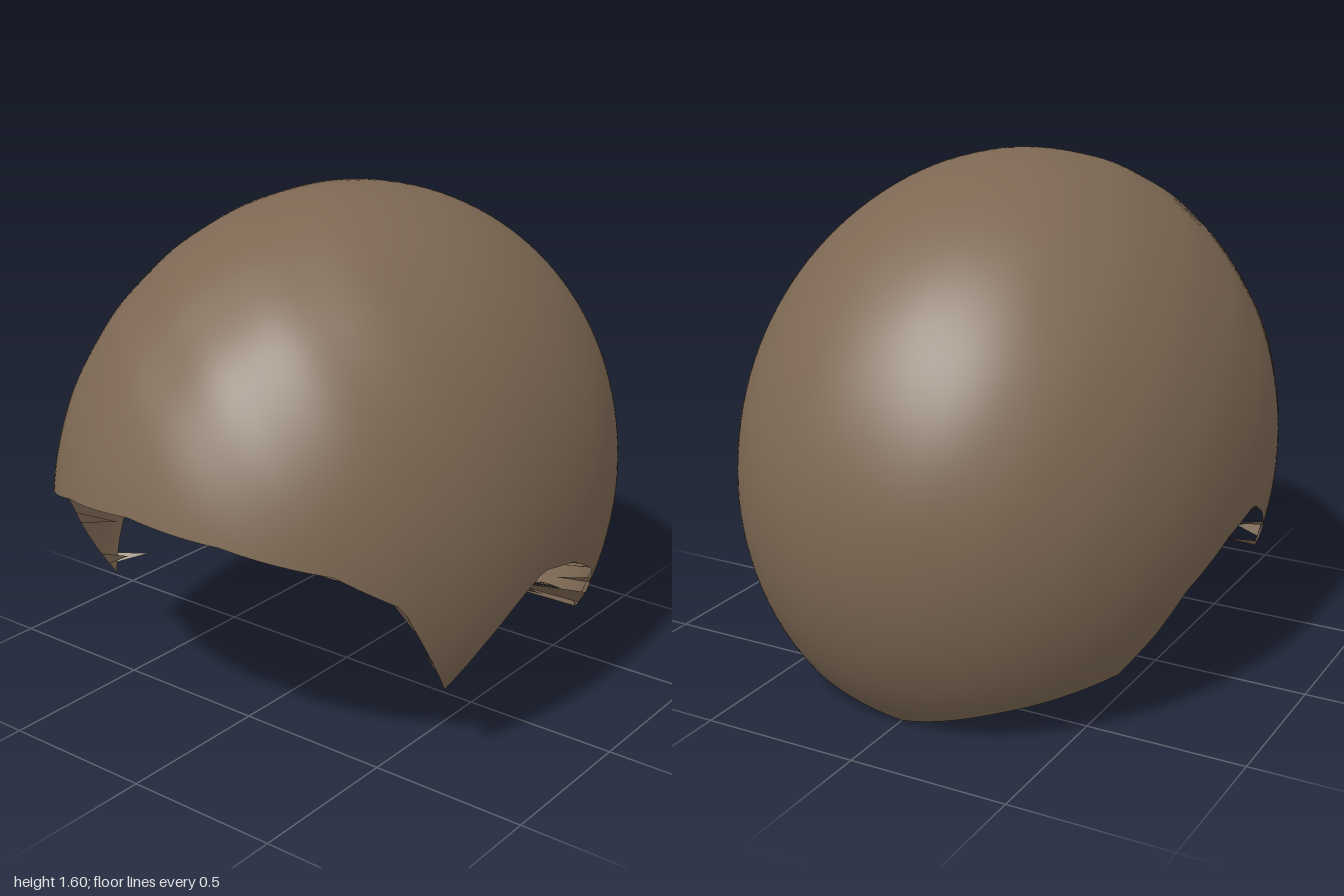
import * as THREE from 'three';
import { mergeVertices } from 'three/addons/utils/BufferGeometryUtils.js';

// Lower edge of the hair: [degrees from the front, height], same on both sides
const RIM = [[0, 0.83], [20, 0.8], [42, 0.72], [55, 0.6], [66, 0.27], [74, 0.4], [81, 0.5], [87, 0.56],
  [96, 0.52], [108, 0.41], [114, 0.3], [122, 0.18], [152, 0.1], [180, 0]];
const CENTRE_Y = 0.65, HALF = new THREE.Vector3(0.79, 0.95, 1);

function rimHeight(deg) {
  const a = Math.abs(((deg + 540) % 360) - 180);
  let i = 1;
  while (i < RIM.length - 1 && a > RIM[i][0]) i++;
  const [a0, y0] = RIM[i - 1], [a1, y1] = RIM[i];
  return y0 + (y1 - y0) * (a - a0) / (a1 - a0);
}

// Point on the slightly squared ellipsoid; t runs from the rim (0) to the crown (1)
function capPoint(deg, t) {
  const a = THREE.MathUtils.degToRad(deg);
  const low = Math.asin((rimHeight(deg) - CENTRE_Y) / HALF.y);
  const lat = low + (Math.PI / 2 - low) * t;
  const r = Math.max(0, Math.cos(lat));
  const bulge = (n) => Math.sign(n) * Math.pow(Math.abs(n), 0.93);
  const p = new THREE.Vector3(HALF.x * r * bulge(Math.sin(a)), HALF.y * Math.sin(lat), HALF.z * r * bulge(Math.cos(a)));
  // faint uneven locks, fading out at the rim and towards the back
  const strength = 0.004 * Math.sin(Math.PI * t) * (0.6 + 0.4 * Math.cos(a));
  p.multiplyScalar(1 + strength * (Math.sin(p.x * 17 + p.y * 9) * Math.sin(p.z * 14 - p.y * 6) - 0.5));
  p.y += CENTRE_Y;
  return p;
}

export function createModel() {
  const group = new THREE.Group();
  const brown = new THREE.MeshStandardMaterial({ color: 0x7d6853, side: THREE.DoubleSide });
  brown.name = 'hairBrown';

  // Smooth cap of hair
  let cap = new THREE.PlaneGeometry(1, 1, 180, 48);
  const pos = cap.attributes.position;
  for (let i = 0; i < pos.count; i++) {
    const p = capPoint(((pos.getX(i) + 0.5) * 360) % 360, pos.getY(i) + 0.5);
    pos.setXYZ(i, p.x, p.y, p.z);
  }
  cap.deleteAttribute('uv');
  cap.deleteAttribute('normal');
  cap = mergeVertices(cap, 1e-5);
  cap.computeVertexNormals();
  const hair = new THREE.Mesh(cap, brown);
  hair.name = 'hairCap';
  group.add(hair);

  // Ragged slivers reaching from the rim towards the middle of the opening
  let seed = 7;
  const rand = () => (seed = (seed * 16807) % 2147483647) / 2147483647;
  const middle = new THREE.Vector3(0, 0.4, 0);
  const corners = [];
  for (let deg = 0; deg < 360; deg += 6) {
    const side = Math.abs(((deg + 540) % 360) - 180);
    const arch = side > 58 && side < 112;
    const start = deg + rand() * 3, width = arch ? 1.5 : 2 + rand() * 4;
    const reach = arch ? 0.08 + rand() * 0.12 : 0.15 + rand() * 0.4;
    const a = capPoint(start, 0), b = capPoint(start + width, 0);
    const tip = capPoint(start + width * rand(), 0).lerp(middle, reach);
    corners.push(a, b, tip);
  }
  const slivers = new THREE.BufferGeometry().setFromPoints(corners);
  slivers.computeVertexNormals();
  const strands = new THREE.Mesh(slivers, brown);
  strands.name = 'innerStrands';
  group.add(strands);

  return group;
}
